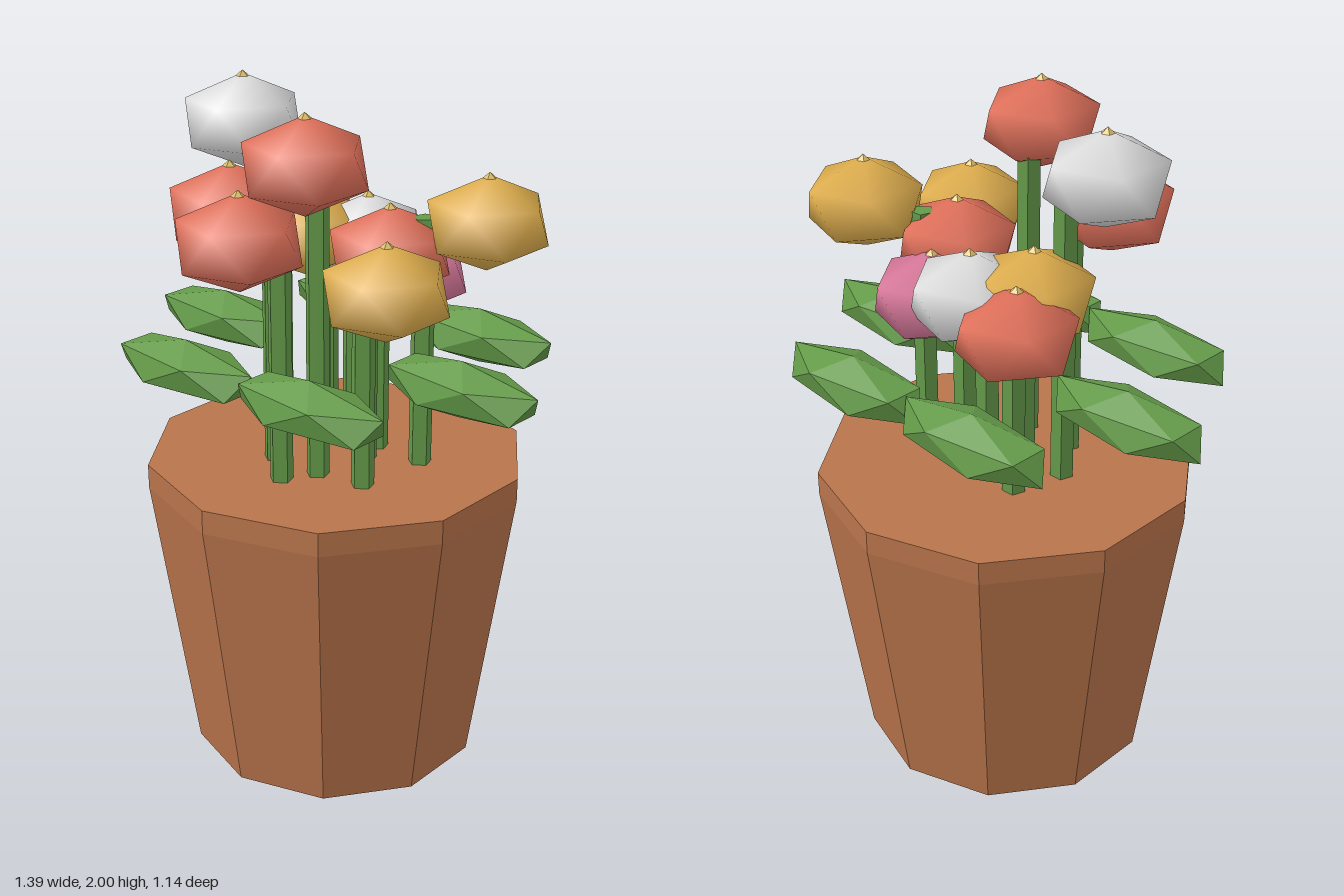
import * as THREE from 'three';
import { mergeVertices } from 'three/addons/utils/BufferGeometryUtils.js';

const mat = (name, color, flat = true) => {
  const m = new THREE.MeshStandardMaterial({ color, flatShading: flat });
  m.name = name;
  return m;
};

// Icosahedron standing on a corner, one upper corner pointing to +x
function poleIcosahedron(rx, ry, rz, smooth) {
  let g = new THREE.IcosahedronGeometry(1, 0);
  g.rotateX(-Math.atan((1 + Math.sqrt(5)) / 2));
  g.rotateY(Math.PI / 2);
  g.scale(rx, ry, rz);
  if (smooth) {
    g.deleteAttribute('normal');
    g.deleteAttribute('uv');
    g = mergeVertices(g, 1e-4);
  }
  g.computeVertexNormals();
  return g;
}

export function createModel() {
  const model = new THREE.Group();
  model.name = 'pottedFlowers';
  const clay = mat('terracotta', 0xb8744b);
  const green = mat('leafGreen', 0x649a49);
  const pollen = mat('pollenYellow', 0xdcbd68);
  const petals = {
    white: mat('petalWhite', 0xdedede, false),
    coral: mat('petalCoral', 0xe0705a, false),
    yellow: mat('petalYellow', 0xdfae4d, false),
    pink: mat('petalPink', 0xd8789a, false),
  };

  const add = (parent, name, geo, material, x, y, z) => {
    const m = new THREE.Mesh(geo, material);
    m.name = name;
    m.position.set(x, y, z);
    parent.add(m);
    return m;
  };

  // Ten-sided pot with a straight rim, filled to the top
  const pot = new THREE.Group();
  pot.name = 'pot';
  model.add(pot);
  const potProfile = [[0, 0], [0.43, 0], [0.553, 0.86], [0.553, 0.93], [0, 0.93]]
    .map(([r, y]) => new THREE.Vector2(r, y));
  add(pot, 'potBody', new THREE.LatheGeometry(potProfile, 10), clay, 0, 0, -0.015);

  // Three rows of leaves, a pair in each
  const leafGeo = poleIcosahedron(0.28, 0.082, 0.112, false);
  for (const [x, z] of [[0.23, 0.357], [0.443, -0.015], [0.23, -0.386]])
    for (const side of [-1, 1])
      add(model, 'leaf', leafGeo, green, side * x, 1.233, z);

  // Flowers: colour and head centre; each stem stands nearer the middle
  const flowers = [
    ['white', -0.304, 1.86, 0.033],
    ['coral', 0.13, 1.845, 0.257],
    ['coral', -0.148, 1.675, 0.25],
    ['coral', 0.04, 1.66, 0.412],
    ['yellow', 0.404, 1.655, -0.166],
    ['yellow', 0.366, 1.545, 0.212],
    ['coral', 0.18, 1.56, -0.028],
    ['yellow', -0.17, 1.535, -0.09],
    ['coral', -0.232, 1.485, -0.222],
    ['white', -0.037, 1.52, -0.195],
    ['pink', 0.13, 1.46, -0.175],
  ];
  const headGeo = poleIcosahedron(0.183, 0.132, 0.183, true);
  const centreGeo = new THREE.ConeGeometry(0.058, 0.05, 5);
  centreGeo.rotateY(Math.PI / 2);
  const stemBase = 0.9;
  for (const [color, x, y, z] of flowers) {
    const flower = new THREE.Group();
    flower.name = color + 'Flower';
    model.add(flower);
    add(flower, 'flowerHead', headGeo, petals[color], x, y, z);
    add(flower, 'flowerCentre', centreGeo, pollen, x, y + 0.115, z);
    const h = y - stemBase;
    add(flower, 'stem', new THREE.CylinderGeometry(0.034, 0.034, h, 5), green,
      x * 0.6, stemBase + h / 2, z * 0.6);
  }
  return model;
}
